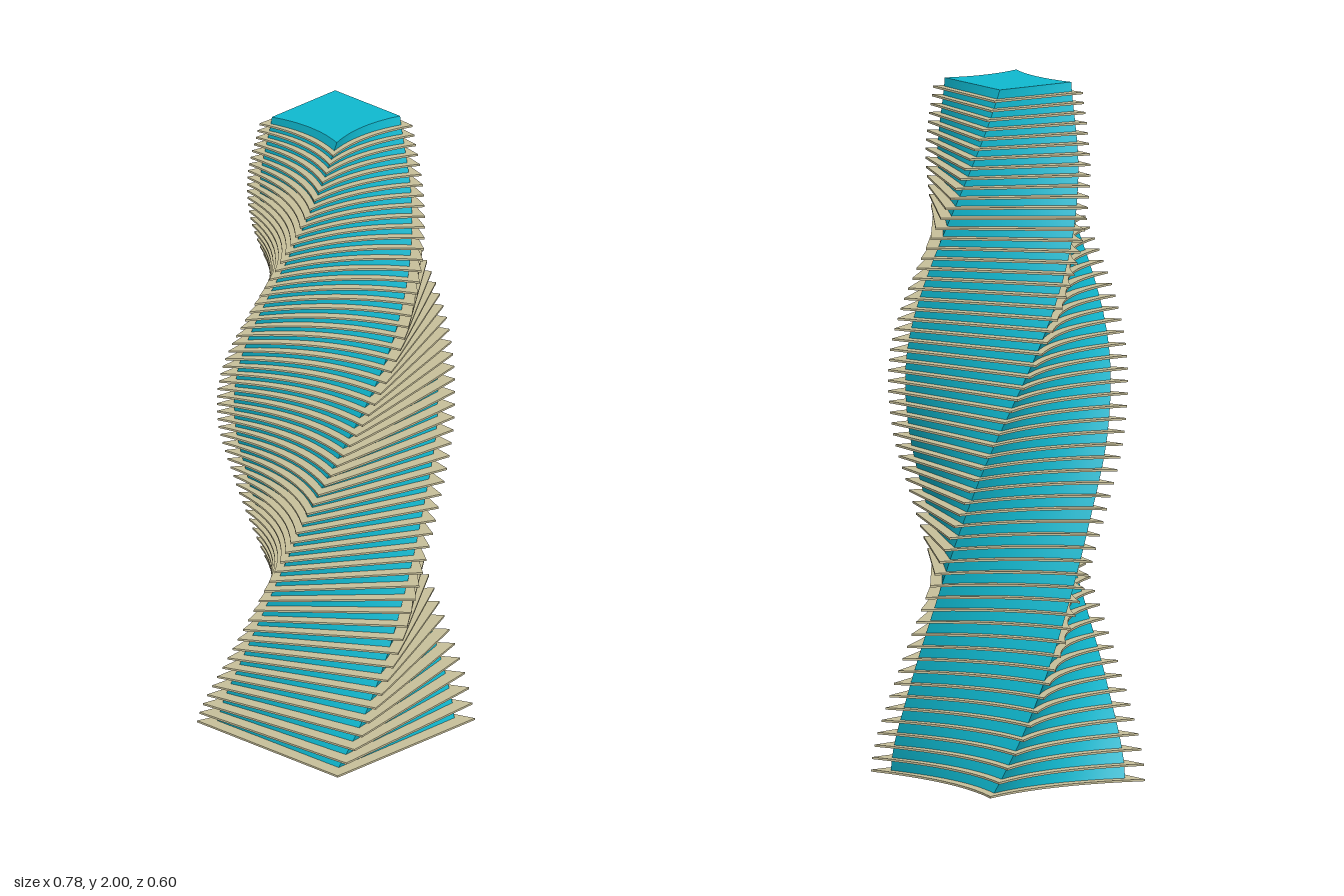
import * as THREE from 'three';
import { mergeGeometries } from 'three/addons/utils/BufferGeometryUtils.js';

const HEIGHT = 2;
const DEPTH_RATIO = 0.77; // plan is squeezed along z after twisting
const OVERHANG = 1.17; // floor plates relative to the core
const FLOORS = 60;
const PLATE = 0.006;
const SIDE_STEPS = 10;

// Core radius over the height: tapers, swells above the middle, narrows at the top
const radiusCurve = new THREE.SplineCurve(
  [0.333, 0.292, 0.266, 0.264, 0.284, 0.292, 0.27, 0.229, 0.18].map((r, i) => new THREE.Vector2(i / 4, r))
);
const radiusAt = (y) => radiusCurve.getPoint(y / HEIGHT).y;
const twistAt = (y) => (y / HEIGHT) * Math.PI; // half a turn in total

// Four-cornered plan, counter-clockwise from above: back sides hollow, front sides straight
const corners = [[1, 0], [0, -1], [-1, 0], [0, 1]].map(([x, z]) => new THREE.Vector2(x, z));
const planSides = corners.map((a, i) => {
  const b = corners[(i + 1) % 4];
  const hollow = i < 2 ? 0.64 : 1;
  const control = a.clone().add(b).multiplyScalar(0.5 * hollow);
  return new THREE.QuadraticBezierCurve(a, control, b).getPoints(SIDE_STEPS);
});

function place(p, { y, radius, twist }) {
  const c = Math.cos(twist), s = Math.sin(twist);
  return [radius * (p.x * c + p.y * s), y, radius * DEPTH_RATIO * (p.y * c - p.x * s)];
}

// Closed solid through a list of levels; sides do not share vertices, so corners stay sharp
function loft(levels) {
  const positions = [], index = [];
  for (const side of planSides) {
    const start = positions.length / 3, n = side.length;
    levels.forEach((level) => side.forEach((p) => positions.push(...place(p, level))));
    for (let j = 0; j < levels.length - 1; j++) {
      for (let i = 0; i < n - 1; i++) {
        const a = start + j * n + i, b = a + 1, c = b + n, d = a + n;
        index.push(a, b, c, a, c, d);
      }
    }
  }
  // End caps as fans around the axis
  const ends = [[levels[0], false], [levels[levels.length - 1], true]];
  for (const [level, up] of ends) {
    const centre = positions.length / 3;
    positions.push(0, level.y, 0);
    const ring = planSides.flatMap((side) => side.slice(0, -1));
    ring.forEach((p) => positions.push(...place(p, level)));
    ring.forEach((_, i) => {
      const a = centre + 1 + i, b = centre + 1 + ((i + 1) % ring.length);
      index.push(centre, ...(up ? [a, b] : [b, a]));
    });
  }
  const geometry = new THREE.BufferGeometry();
  geometry.setAttribute('position', new THREE.Float32BufferAttribute(positions, 3));
  geometry.setIndex(index);
  geometry.computeVertexNormals();
  return geometry;
}

export function createModel() {
  const tower = new THREE.Group();
  tower.name = 'twistedTower';

  // Glazed core
  const coreLevels = [];
  for (let i = 0; i <= 120; i++) {
    const y = (i / 120) * HEIGHT;
    coreLevels.push({ y, radius: radiusAt(y), twist: twistAt(y) });
  }
  const core = new THREE.Mesh(loft(coreLevels), new THREE.MeshStandardMaterial({ color: 0x0fb9d0 }));
  core.name = 'glassCore';
  tower.add(core);

  // Floor plates, spaced a little closer towards the top
  const plates = [];
  for (let i = 0; i < FLOORS; i++) {
    const t = i / (FLOORS - 1);
    const y = 1.968 * t * (1.2 - 0.2 * t);
    const level = { radius: radiusAt(y) * OVERHANG, twist: twistAt(y) };
    plates.push(loft([{ ...level, y }, { ...level, y: y + PLATE }]));
  }
  const floors = new THREE.Mesh(mergeGeometries(plates), new THREE.MeshStandardMaterial({ color: 0xc8c09a }));
  floors.name = 'floorPlates';
  tower.add(floors);

  return tower;
}
